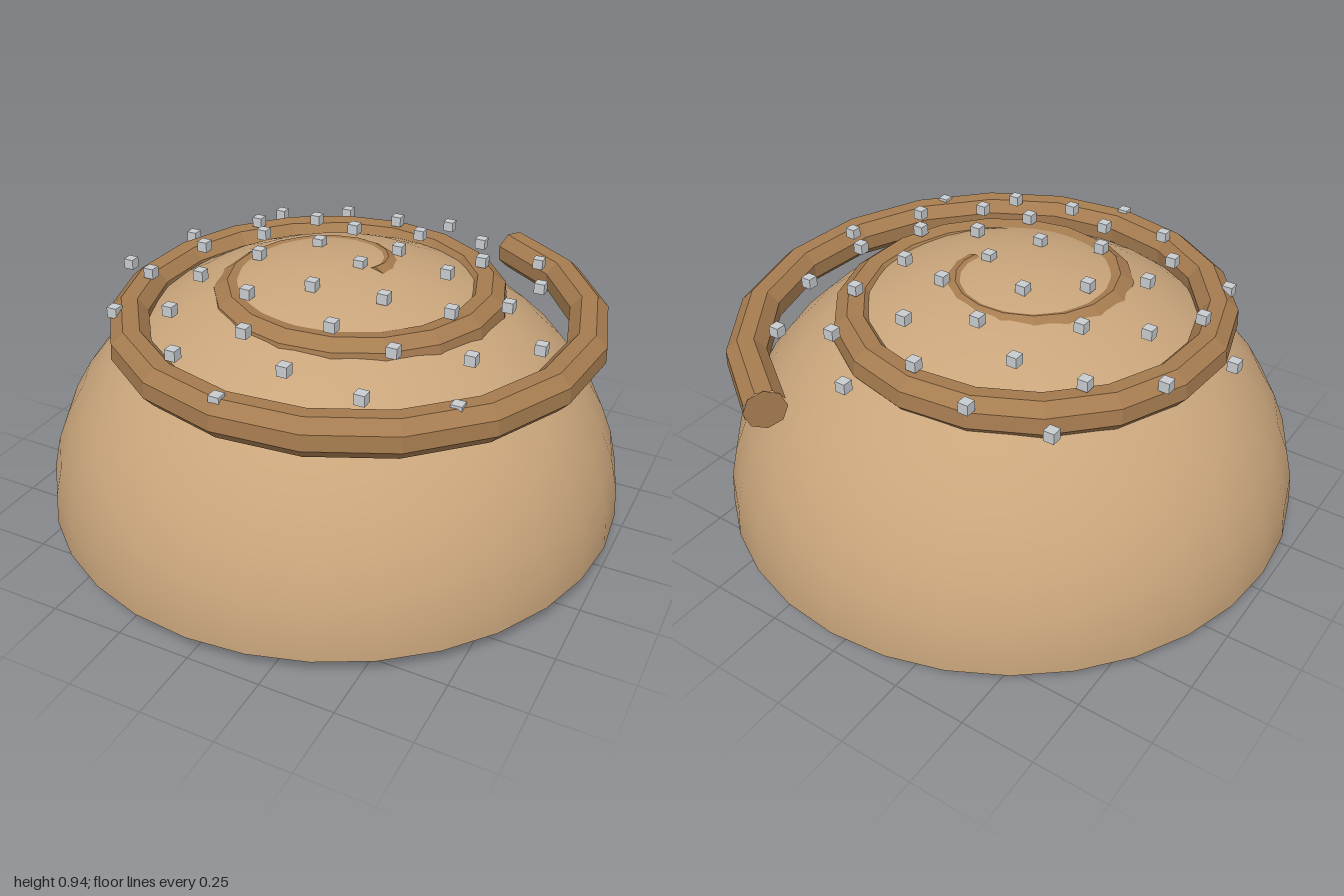
import * as THREE from 'three';

const BUN = { radius: 1, height: 0.84, rim: 0.08 };
const SIDES = 32;

function material(name, color) {
  const m = new THREE.MeshStandardMaterial({ color });
  m.name = name;
  return m;
}

function mesh(name, geometry, mat) {
  const m = new THREE.Mesh(geometry, mat);
  m.name = name;
  return m;
}

// Flat spiral that widens and sinks as it turns, sampled at equal angles
function spiralCurve(steps) {
  const points = [];
  for (let i = 0; i <= steps; i++) {
    const t = i / steps;
    const a = t * THREE.MathUtils.degToRad(788);
    const r = 0.14 + 0.76 * t;
    points.push(new THREE.Vector3(r * Math.cos(a), 0.85 - 0.15 * t, -r * Math.sin(a)));
  }
  const curve = new THREE.CatmullRomCurve3(points);
  curve.getPointAt = curve.getPoint;
  curve.getTangentAt = curve.getTangent;
  return curve;
}

export function createModel() {
  const group = new THREE.Group();
  group.name = 'spiralBun';

  const dough = material('bakedDough', 0xc9a57b);
  const swirlBrown = material('swirlBrown', 0xa67c50);
  const sugar = material('sugarGrey', 0xc8ccd0);
  swirlBrown.flatShading = true;

  // Rounded top of the bun
  const dome = mesh('dome', new THREE.SphereGeometry(1, SIDES, 12, 0, Math.PI * 2, 0, Math.PI / 2), dough);
  dome.scale.set(BUN.radius, BUN.height, BUN.radius);
  dome.position.y = BUN.rim;
  group.add(dome);

  // Flat underside with a bevelled edge
  const underside = [[0, 0], [0.88, 0], [1, BUN.rim]].map(([x, y]) => new THREE.Vector2(x, y));
  group.add(mesh('underside', new THREE.LatheGeometry(underside, SIDES), dough));

  // Spiral roll with closed ends
  const steps = 40, rollRadius = 0.07;
  const curve = spiralCurve(steps);
  const swirl = new THREE.Group();
  swirl.name = 'swirl';
  swirl.add(mesh('swirlRoll', new THREE.TubeGeometry(curve, steps, rollRadius, 8), swirlBrown));
  for (const end of [0, 1]) {
    const cap = mesh(end ? 'outerEnd' : 'innerEnd', new THREE.CircleGeometry(rollRadius, 8), swirlBrown);
    cap.position.copy(curve.getPoint(end));
    const outward = curve.getTangent(end).multiplyScalar(end ? 1 : -1);
    cap.lookAt(outward.add(cap.position));
    swirl.add(cap);
  }
  group.add(swirl);

  // Sugar cubes scattered by the golden angle
  const crystals = new THREE.Group();
  crystals.name = 'sugarCrystals';
  const cube = new THREE.BoxGeometry(0.036, 0.036, 0.036);
  const count = 40, golden = Math.PI * (3 - Math.sqrt(5));
  for (let i = 0; i < count; i++) {
    const r = 0.8 * Math.sqrt((i + 0.5) / count);
    const a = i * golden;
    const crystal = mesh('sugarCrystal', cube, sugar);
    crystal.position.set(r * Math.cos(a), 0.925 - 0.235 * r * r, -r * Math.sin(a));
    crystals.add(crystal);
  }
  group.add(crystals);

  return group;
}
